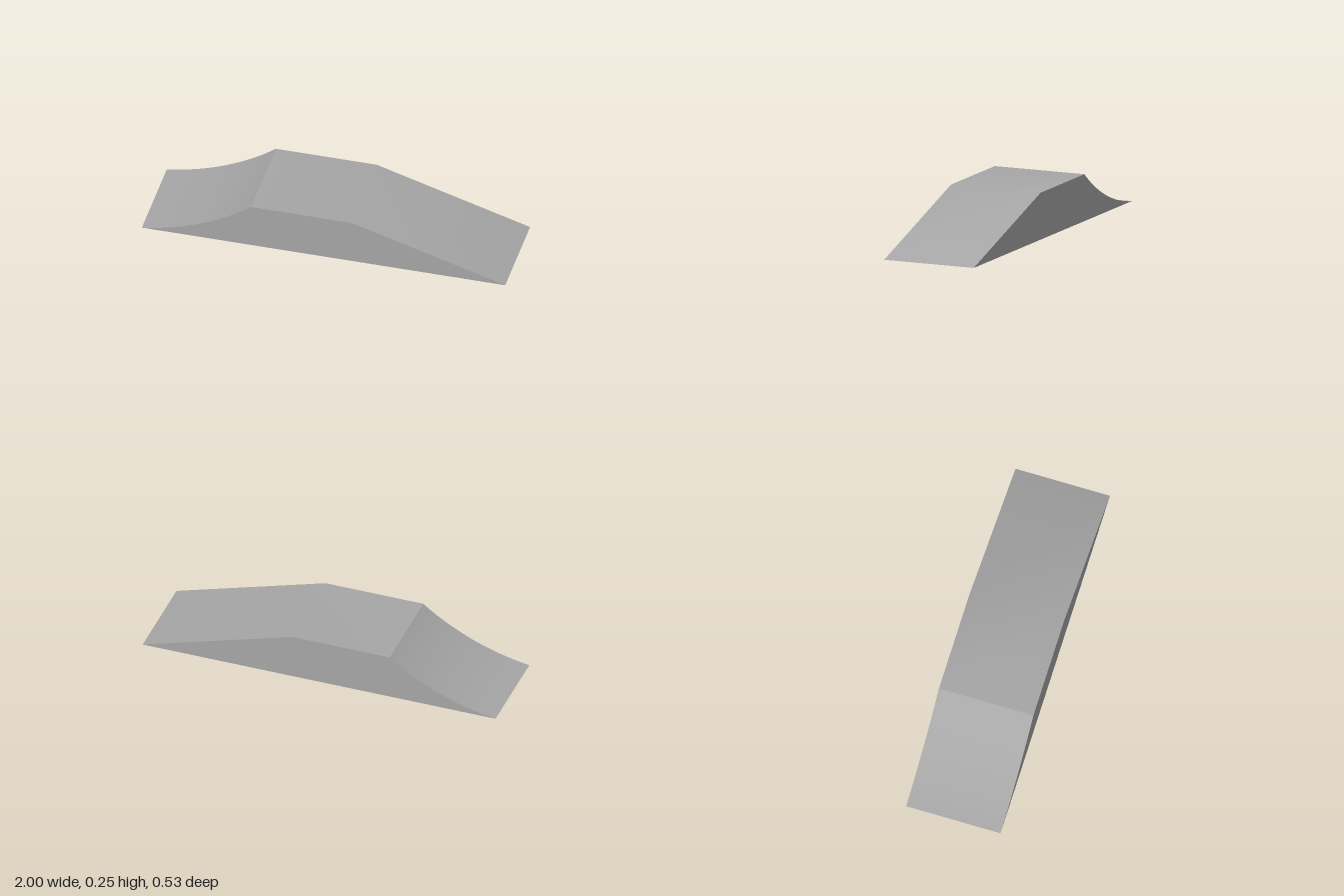
import * as THREE from 'three';
import { toCreasedNormals } from 'three/addons/utils/BufferGeometryUtils.js';

const HEIGHT = 0.255;
const DEPTH = 0.526;

export function createModel() {
  const grey = new THREE.MeshStandardMaterial({ color: 0xa6a6a6 });
  grey.name = 'grey';

  // Side profile: straight ramp, flat deck, concave curved ramp
  const profile = new THREE.Shape();
  profile.moveTo(-1, 0);
  profile.lineTo(1, 0);
  profile.lineTo(0.155, HEIGHT);
  profile.lineTo(-0.4, HEIGHT);

  // Concave arc from the deck edge down to the ground
  const cx = -1.175, cy = 1.248;
  const start = Math.atan2(HEIGHT - cy, -0.4 - cx);
  const end = Math.atan2(-cy, -1 - cx);
  const radius = Math.hypot(-1 - cx, cy);
  const steps = 24;
  for (let i = 1; i < steps; i++) {
    const a = start + (end - start) * (i / steps);
    profile.lineTo(cx + radius * Math.cos(a), cy + radius * Math.sin(a));
  }
  profile.closePath();

  // Extrude across the width; soft joint between deck and straight ramp
  const solid = new THREE.ExtrudeGeometry(profile, { depth: DEPTH, bevelEnabled: false });
  solid.translate(0, 0, -DEPTH / 2);
  const ramp = new THREE.Mesh(toCreasedNormals(solid, 0.5), grey);
  ramp.name = 'ramp';

  const group = new THREE.Group();
  group.name = 'jumpRamp';
  group.add(ramp);
  return group;
}
